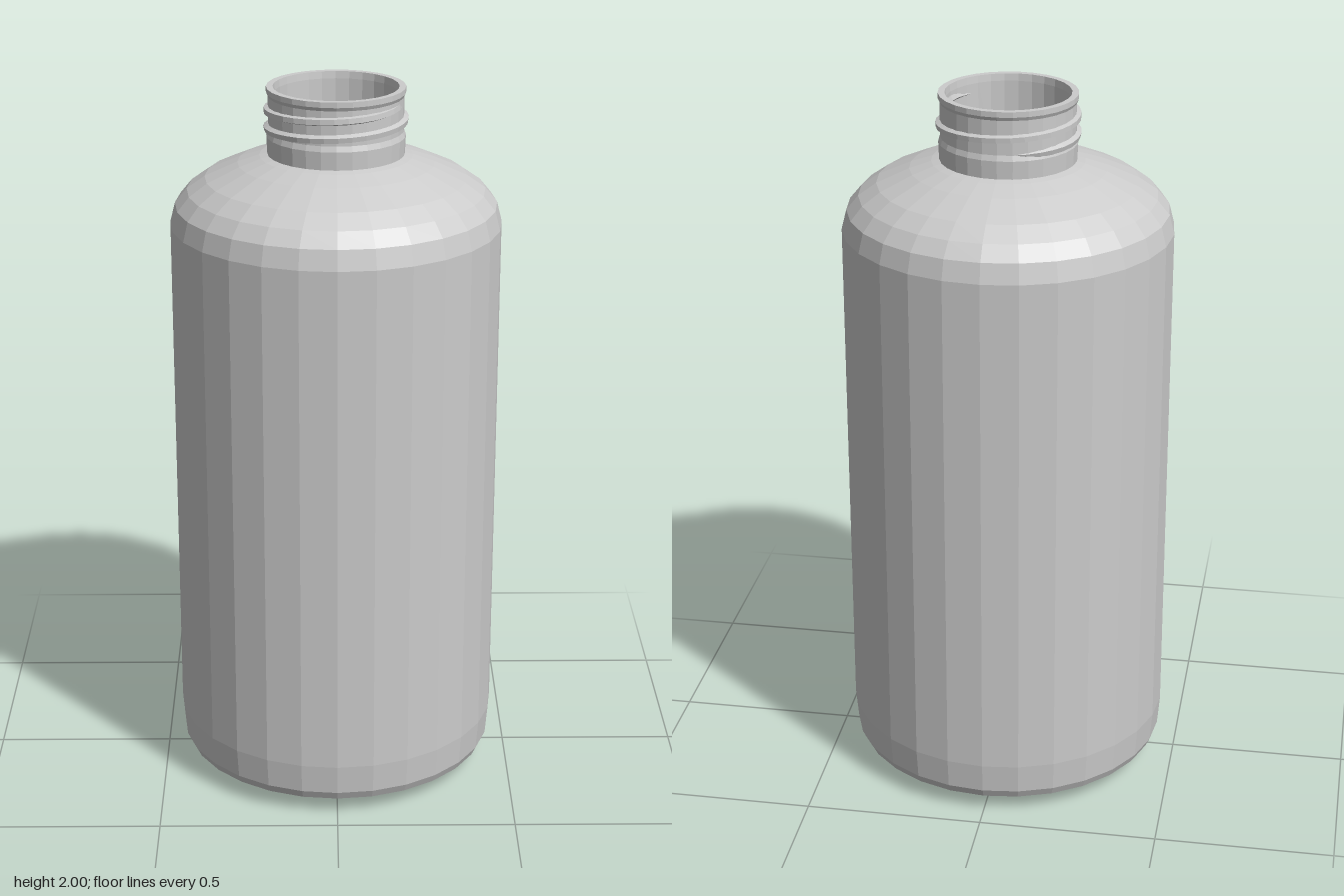
import * as THREE from 'three';

const SIDES = 28;

// Helical path of the neck thread, sinking into the neck at both ends
class ThreadCurve extends THREE.Curve {
  getPoint(t, target = new THREE.Vector3()) {
    const angle = t * Math.PI * 2 * 1.75 + Math.PI;
    const fade = Math.min(1, t * 10, (1 - t) * 10);
    const r = 0.17 + 0.017 * fade;
    return target.set(Math.sin(angle) * r, 1.875 + 0.085 * t, Math.cos(angle) * r);
  }
}

function lathe(points, material) {
  const profile = points.map(([r, y]) => new THREE.Vector2(r, y));
  return new THREE.Mesh(new THREE.LatheGeometry(profile, SIDES), material);
}

export function createModel() {
  const model = new THREE.Group();
  model.name = 'bottle';
  const material = new THREE.MeshStandardMaterial({
    color: 0xcccccc, flatShading: true, side: THREE.DoubleSide,
  });

  // Outer shell: recessed base, chamfered foot, straight wall, rounded shoulder
  const body = lathe([
    [0, 0.025], [0.24, 0.025], [0.255, 0.002], [0.28, 0],
    [0.38, 0.02], [0.438, 0.05], [0.45, 0.075], [0.457, 0.16],
    [0.457, 1.62], [0.443, 1.675], [0.41, 1.715], [0.36, 1.75],
    [0.27, 1.79], [0.21, 1.81], [0.188, 1.815],
  ], material);
  body.name = 'body';

  // Neck with a thin lip and an open mouth
  const neck = lathe([
    [0.188, 1.815], [0.19, 1.865], [0.185, 1.88], [0.185, 1.975],
    [0.19, 1.985], [0.19, 2], [0.172, 2], [0.17, 1.98], [0.17, 1.8],
  ], material);
  neck.name = 'neck';

  // Inside wall and floor seen through the mouth
  const inside = lathe([
    [0.17, 1.8], [0.26, 1.77], [0.35, 1.73], [0.425, 1.66], [0.438, 1.62],
    [0.438, 0.1], [0.41, 0.06], [0.25, 0.04], [0, 0.04],
  ], material);
  inside.name = 'inside';

  // Screw thread
  const thread = new THREE.Mesh(
    new THREE.TubeGeometry(new ThreadCurve(), 56, 0.012, 5), material);
  thread.name = 'thread';

  model.add(body, neck, inside, thread);
  return model;
}
